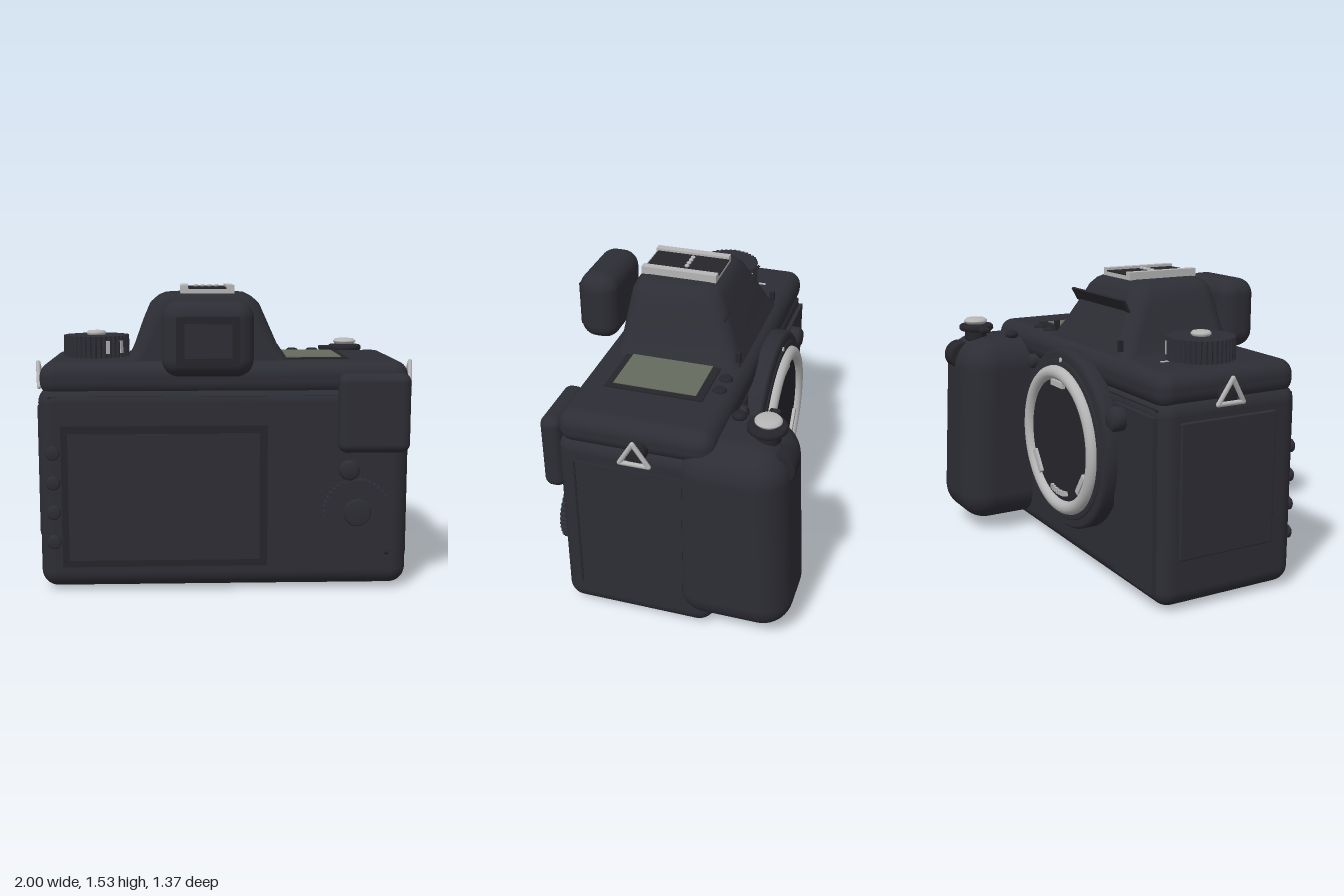
import * as THREE from 'three';
import { RoundedBoxGeometry } from 'three/addons/geometries/RoundedBoxGeometry.js';

export function createModel() {
  const root = new THREE.Group();
  root.name = 'camera';
  const mat = (name, color) => {
    const m = new THREE.MeshStandardMaterial({ color });
    m.name = name;
    return m;
  };
  const body = mat('charcoal body', 0x2d2d35);
  const black = mat('black trim', 0x25252b);
  const metal = mat('silver metal', 0xb6b6b6);
  const lcd = mat('grey green display', 0x656b5f);

  const add = (name, geo, m, x = 0, y = 0, z = 0) => {
    const mesh = new THREE.Mesh(geo, m);
    mesh.name = name;
    mesh.position.set(x, y, z);
    root.add(mesh);
    return mesh;
  };
  // Boxes given by their ranges on each axis; r rounds the edges
  const box = (name, m, [x0, x1], [y0, y1], [z0, z1], r = 0) => add(name,
    r ? new RoundedBoxGeometry(x1 - x0, y1 - y0, z1 - z0, 5, r) : new THREE.BoxGeometry(x1 - x0, y1 - y0, z1 - z0),
    m, (x0 + x1) / 2, (y0 + y1) / 2, (z0 + z1) / 2);
  // Discs along an axis, with a softened rim
  const disc = (name, m, axis, r, h, x, y, z, soft = Math.min(0.008, h / 3)) => {
    const p = [[0, -h / 2], [r - soft, -h / 2], [r, -h / 2 + soft], [r, h / 2 - soft], [r - soft, h / 2], [0, h / 2]];
    const geo = new THREE.LatheGeometry(p.map(([a, b]) => new THREE.Vector2(a, b)), 40);
    if (axis === 'z') geo.rotateX(Math.PI / 2);
    if (axis === 'x') geo.rotateZ(Math.PI / 2);
    return add(name, geo, m, x, y, z);
  };
  // Knurled wheel, extruded along z from z = 0
  const knurled = (r, h, teeth) => {
    const pts = [];
    for (let i = 0; i < teeth * 4; i++) {
      const a = (i / (teeth * 4)) * Math.PI * 2, q = i % 4 < 2 ? r : r - 0.008;
      pts.push(new THREE.Vector2(Math.cos(a) * q, Math.sin(a) * q));
    }
    return new THREE.ExtrudeGeometry(new THREE.Shape(pts), { depth: h, bevelEnabled: false });
  };

  // Main shell and top cover
  box('lowerBody', body, [-0.945, 0.91], [0.025, 1.05], [-0.295, 0.485], 0.085);
  box('topCover', body, [-0.935, 0.905], [0.995, 1.168], [-0.298, 0.475], 0.075);
  box('seam', black, [-0.89, 0.86], [0.985, 1.0], [-0.29, 0.478]);

  // Hand grip, tapering toward the top
  const grip = new RoundedBoxGeometry(0.49, 1.035, 0.6, 8, 0.16);
  const gp = grip.attributes.position;
  for (let i = 0; i < gp.count; i++) {
    if (gp.getZ(i) < 0) gp.setZ(i, gp.getZ(i) + 0.055 * (gp.getY(i) / 1.035 + 0.5));
  }
  add('grip', grip, body, 0.702, 0.592, -0.39);

  // Prism housing lofted through rounded rectangles: y, x0, x1, z0, z1, corner
  const rows = [
    [1.15, -0.52, 0.31, -0.255, 0.405, 0.06], [1.185, -0.495, 0.295, -0.235, 0.4, 0.07],
    [1.25, -0.465, 0.25, -0.205, 0.39, 0.08], [1.375, -0.42, 0.195, -0.145, 0.378, 0.09],
    [1.45, -0.388, 0.162, -0.108, 0.368, 0.09], [1.483, -0.35, 0.125, -0.082, 0.352, 0.08],
    [1.498, -0.315, 0.095, -0.055, 0.335, 0.07], [1.502, -0.28, 0.06, -0.03, 0.31, 0.06]];
  const v = [], idx = [], n = 32;
  for (const [y, x0, x1, z0, z1, r] of rows) {
    for (let i = 0; i < n; i++) {
      const k = Math.floor(i / 8), a = (k + (i % 8) / 7) * Math.PI / 2;
      const cx = k === 0 || k === 3 ? x1 - r : x0 + r, cz = k < 2 ? z1 - r : z0 + r;
      v.push(cx + Math.cos(a) * r, y, cz + Math.sin(a) * r);
    }
  }
  for (let j = 0; j < rows.length - 1; j++) {
    for (let i = 0; i < n; i++) {
      const a = j * n + i, b = j * n + (i + 1) % n;
      idx.push(a, a + n, b, b, a + n, b + n);
    }
  }
  const last = (rows.length - 1) * n;
  v.push(-0.11, 1.502, 0.14);
  for (let i = 0; i < n; i++) idx.push(v.length / 3 - 1, last + (i + 1) % n, last + i);
  const prism = new THREE.BufferGeometry();
  prism.setAttribute('position', new THREE.Float32BufferAttribute(v, 3));
  prism.setIndex(idx);
  prism.computeVertexNormals();
  add('prismHousing', prism, body);
  const lip = box('flashLip', black, [-0.38, 0.17], [1.36, 1.43], [-0.162, -0.15]);
  lip.rotation.x = -0.5;
  for (const x of [-0.45, 0.24]) box('hingePin', black, [x - 0.01, x + 0.01], [1.19, 1.245], [-0.245, -0.22]);

  // Accessory shoe
  box('shoeBase', metal, [-0.235, 0.035], [1.5, 1.522], [-0.055, 0.34]);
  for (const x of [-0.235, -0.005]) box('shoeRail', metal, [x, x + 0.04], [1.52, 1.54], [-0.055, 0.34]);
  box('shoeBed', black, [-0.195, -0.005], [1.522, 1.528], [-0.058, 0.33]);
  for (let i = 0; i < 4; i++) disc('shoeContact', metal, 'y', 0.012, 0.015, -0.155 + i * 0.035, 1.534, 0.125);

  // Eyepiece
  box('eyecup', body, [-0.325, 0.118], [1.11, 1.475], [0.468, 0.678], 0.085);
  box('eyepieceFrame', black, [-0.255, 0.048], [1.165, 1.4], [0.67, 0.685]);
  box('eyepieceWindow', body, [-0.215, 0.01], [1.205, 1.365], [0.682, 0.69]);

  // Mode dial
  add('modeDial', knurled(0.17, 0.115, 40), body, -0.675, 1.163, 0.085).rotation.x = -Math.PI / 2;
  disc('dialCap', metal, 'y', 0.05, 0.025, -0.675, 1.288, 0.085);
  for (const a of [-1.2, -0.6, 0, 0.65, 1.15]) {
    const tick = box('dialTick', metal, [-0.003, 0.003], [1.19, 1.255], [-0.01, 0.01]);
    tick.position.x = -0.675 + Math.cos(a) * 0.17;
    tick.position.z = 0.085 + Math.sin(a) * 0.17;
    tick.rotation.y = -a;
  }
  box('dialIndex', metal, [-0.682, -0.668], [1.165, 1.172], [-0.14, -0.1]);

  // Top display and buttons
  box('displayFrame', black, [0.24, 0.615], [1.16, 1.175], [-0.16, 0.335]);
  box('display', lcd, [0.26, 0.582], [1.174, 1.179], [-0.12, 0.3]);
  for (const x of [0.38, 0.49]) disc('topButton', black, 'y', 0.034, 0.03, x, 1.165, -0.21);

  // Shutter release and front wheel
  disc('shutterPost', black, 'y', 0.06, 0.09, 0.715, 1.13, -0.51);
  disc('shutterCollar', black, 'y', 0.095, 0.033, 0.715, 1.16, -0.505);
  disc('shutterButton', metal, 'y', 0.065, 0.03, 0.715, 1.196, -0.508, 0.012);
  box('powerLever', black, [0.565, 0.65], [1.145, 1.172], [-0.535, -0.48], 0.01);
  disc('gripButton', black, 'y', 0.035, 0.04, 0.6, 1.118, -0.34, 0.013);
  disc('frontWheel', black, 'x', 0.08, 0.11, 0.76, 1.0, -0.585);

  // Lens mount
  const mx = -0.1, my = 0.68;
  disc('mountBase', body, 'z', 0.47, 0.11, mx, my, -0.325, 0.02);
  disc('mountPlate', body, 'z', 0.42, 0.02, mx, my, -0.378);
  add('mountRing', new THREE.TorusGeometry(0.355, 0.036, 14, 72), metal, mx, my, -0.39);
  disc('mountInterior', black, 'z', 0.325, 0.01, mx, my, -0.388);
  const arc = (name, deg, r, w, h) => {
    const a = deg * Math.PI / 180;
    add(name, new THREE.BoxGeometry(h, w, 0.02), metal, mx + Math.cos(a) * r, my + Math.sin(a) * r, -0.4).rotation.z = a;
  };
  for (const deg of [90, 215, 325]) arc('bayonetTab', deg, 0.3, 0.13, 0.03);
  for (let i = 0; i < 8; i++) arc('lensContact', 254 + i * 4.6, 0.28, 0.013, 0.025);
  disc('mountIndex', metal, 'z', 0.014, 0.01, mx, my + 0.42, -0.383);

  // Front buttons and panel
  box('frontPanel', body, [-0.89, -0.53], [0.1, 0.965], [-0.315, -0.28]);
  disc('lensRelease', body, 'z', 0.06, 0.09, -0.6, 0.9, -0.335, 0.02);
  disc('frontButton', body, 'z', 0.04, 0.06, 0.4, 1.0, -0.3, 0.012);
  disc('frontButton', body, 'z', 0.035, 0.06, 0.37, 0.38, -0.3, 0.012);

  // Side doors
  box('portDoor', body, [-0.96, -0.93], [0.27, 0.94], [-0.2, 0.335], 0.008);
  box('cardDoor', body, [0.9, 0.914], [0.17, 0.92], [-0.15, 0.385]);
  box('cardDoorGap', black, [0.9, 0.916], [0.17, 0.92], [0.38, 0.39]);

  // Strap lugs with triangular rings
  for (const s of [-1, 1]) {
    disc('strapLug', black, 'x', 0.045, 0.075, s * 0.935, 1.045, 0.055);
    const lug = new THREE.Group();
    lug.name = 'strapRing';
    const c = [[1.01, -0.015], [1.01, 0.127], [1.13, 0.056]].map(([y, z]) => new THREE.Vector3(s * (0.975 + (y - 1.01) * 0.1), y, z));
    c.forEach((p, i) => {
      const bar = new THREE.Mesh(new THREE.TubeGeometry(new THREE.LineCurve3(p, c[(i + 1) % 3]), 1, 0.012, 10), metal);
      const joint = new THREE.Mesh(new THREE.SphereGeometry(0.012, 10, 8), metal);
      bar.name = 'ringBar';
      joint.name = 'ringCorner';
      joint.position.copy(p);
      lug.add(bar, joint);
    });
    root.add(lug);
  }

  // Rear screen and controls
  box('screenFrame', black, [-0.83, 0.195], [0.14, 0.855], [0.47, 0.497]);
  box('screen', body, [-0.795, 0.155], [0.175, 0.815], [0.494, 0.503]);
  for (let i = 0; i < 4; i++) disc('menuButton', body, 'z', 0.035, 0.04, -0.87, 0.27 + i * 0.15, 0.487);
  box('thumbRest', body, [0.543, 0.9], [0.72, 1.115], [0.458, 0.565], 0.045);
  disc('rearButton', body, 'z', 0.05, 0.047, 0.59, 0.645, 0.59, 0.014);
  add('rearDial', knurled(0.168, 0.06, 40), body, 0.64, 0.42, 0.48);
  disc('rearDialCenter', body, 'z', 0.068, 0.03, 0.64, 0.42, 0.542);
  disc('statusLamp', black, 'z', 0.012, 0.02, 0.8, 0.2, 0.482);

  // Underside
  disc('tripodSocket', metal, 'y', 0.078, 0.022, -0.1, 0.019, 0.09);
  box('batteryDoor', body, [0.42, 0.82], [0.018, 0.04], [-0.2, 0.39]);
  box('batteryLatch', black, [0.545, 0.67], [0.008, 0.03], [0.04, 0.14]);

  return root;
}
